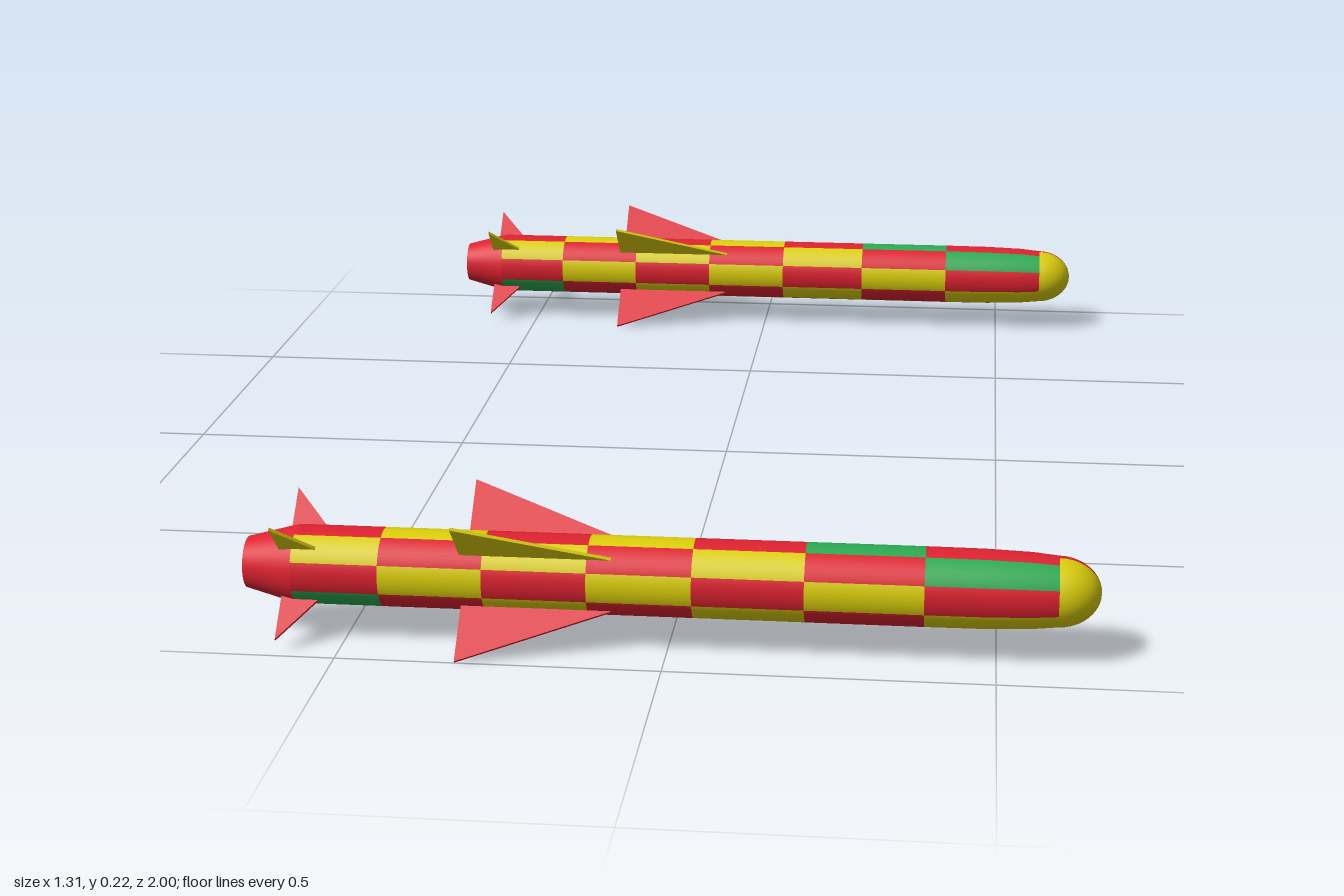
import * as THREE from 'three';
import { mergeGeometries } from 'three/addons/utils/BufferGeometryUtils.js';

const CENTRE_Y = 0.108, CENTRE_Z = 0.893, R = 0.061;

const material = (name, color) => {
  const m = new THREE.MeshStandardMaterial({ color });
  m.name = name;
  return m;
};

// Surface of revolution around the x axis; profile rows are [x, radius].
function revolve(profile, segments, phiStart = 0, phiLength = Math.PI * 2) {
  const points = profile.map(([x, r]) => new THREE.Vector2(r, x));
  return new THREE.LatheGeometry(points, segments, phiStart, phiLength).rotateZ(-Math.PI / 2);
}

// Thin triangular fin lying in the xy plane, pointing away from the axis.
function finGeometry(rear, front, tip) {
  const t = 0.005;
  const shape = new THREE.Shape();
  shape.moveTo(rear, R * 0.85);
  shape.lineTo(front, R * 0.95);
  shape.lineTo(rear, tip);
  shape.closePath();
  return new THREE.ExtrudeGeometry(shape, { depth: t, bevelEnabled: false }).translate(0, 0, -t / 2);
}

export function createModel() {
  const red = material('red', 0xde2230);
  const yellow = material('yellow', 0xdccf0a);
  const green = material('green', 0x2caa52);

  // Checkered hull panels, grouped by colour: a green diagonal spirals through the checks
  const columns = [-0.575, -0.44, -0.28, -0.12, 0.04, 0.21, 0.39, 0.59];
  const panels = new Map([[red, []], [yellow, []], [green, []]]);
  for (let c = 0; c < 7; c++) {
    const a = columns[c], b = columns[c + 1];
    const profile = c === 6
      ? [[a, R], [0.48, 0.0605], [0.55, 0.058], [b, 0.054]]
      : [[a, R], [b, R]];
    for (let s = 0; s < 8; s++) {
      const colour = s + c === 6 ? green : (s + c) % 2 ? red : yellow;
      const middle = -(s + 1) * Math.PI / 4;
      panels.get(colour).push(revolve(profile, 6, middle - Math.PI / 8, Math.PI / 4));
    }
  }
  const hull = [...panels].map(([colour, list]) => [colour, mergeGeometries(list)]);

  // Rounded nose, yellow on the front half and red on the back half
  const noseProfile = [];
  for (let i = 0; i <= 10; i++) {
    const t = i / 10 * Math.PI / 2;
    noseProfile.push([0.59 + 0.065 * Math.sin(t), i === 10 ? 0 : 0.054 * Math.cos(t)]);
  }
  const noseFront = revolve(noseProfile, 24, -Math.PI / 2, Math.PI);
  const noseBack = revolve(noseProfile, 24, Math.PI / 2, Math.PI);

  // Tapered tail with a flat end
  const tail = revolve([[-0.655, 0.04], [-0.59, 0.0575], [-0.575, R]], 48);
  const tailCap = new THREE.CircleGeometry(0.04, 48).rotateY(-Math.PI / 2).translate(-0.655, 0, 0);

  const wing = finGeometry(-0.315, -0.075, 0.152);
  const tailFin = finGeometry(-0.595, -0.535, 0.128);

  function createMissile(name) {
    const missile = new THREE.Group();
    missile.name = name;
    const add = (part, geometry, mat) => {
      const mesh = new THREE.Mesh(geometry, mat);
      mesh.name = part;
      missile.add(mesh);
      return mesh;
    };
    for (const [colour, geometry] of hull) add(`${colour.name}HullPanels`, geometry, colour);
    add('noseFrontHalf', noseFront, yellow);
    add('noseBackHalf', noseBack, red);
    add('tailCone', tail, red);
    add('tailCap', tailCap, red);

    // Four wings and four tail fins in a diagonal cross
    for (let i = 0; i < 4; i++) {
      const angle = Math.PI / 4 + i * Math.PI / 2;
      const colour = i % 2 ? red : yellow;
      add('wing', wing, colour).rotation.x = angle;
      add('tailFin', tailFin, colour).rotation.x = angle;
    }
    return missile;
  }

  const model = new THREE.Group();
  model.name = 'missilePair';
  for (const side of [1, -1]) {
    const missile = createMissile(side > 0 ? 'frontMissile' : 'backMissile');
    missile.position.set(0, CENTRE_Y, side * CENTRE_Z);
    model.add(missile);
  }
  return model;
}
